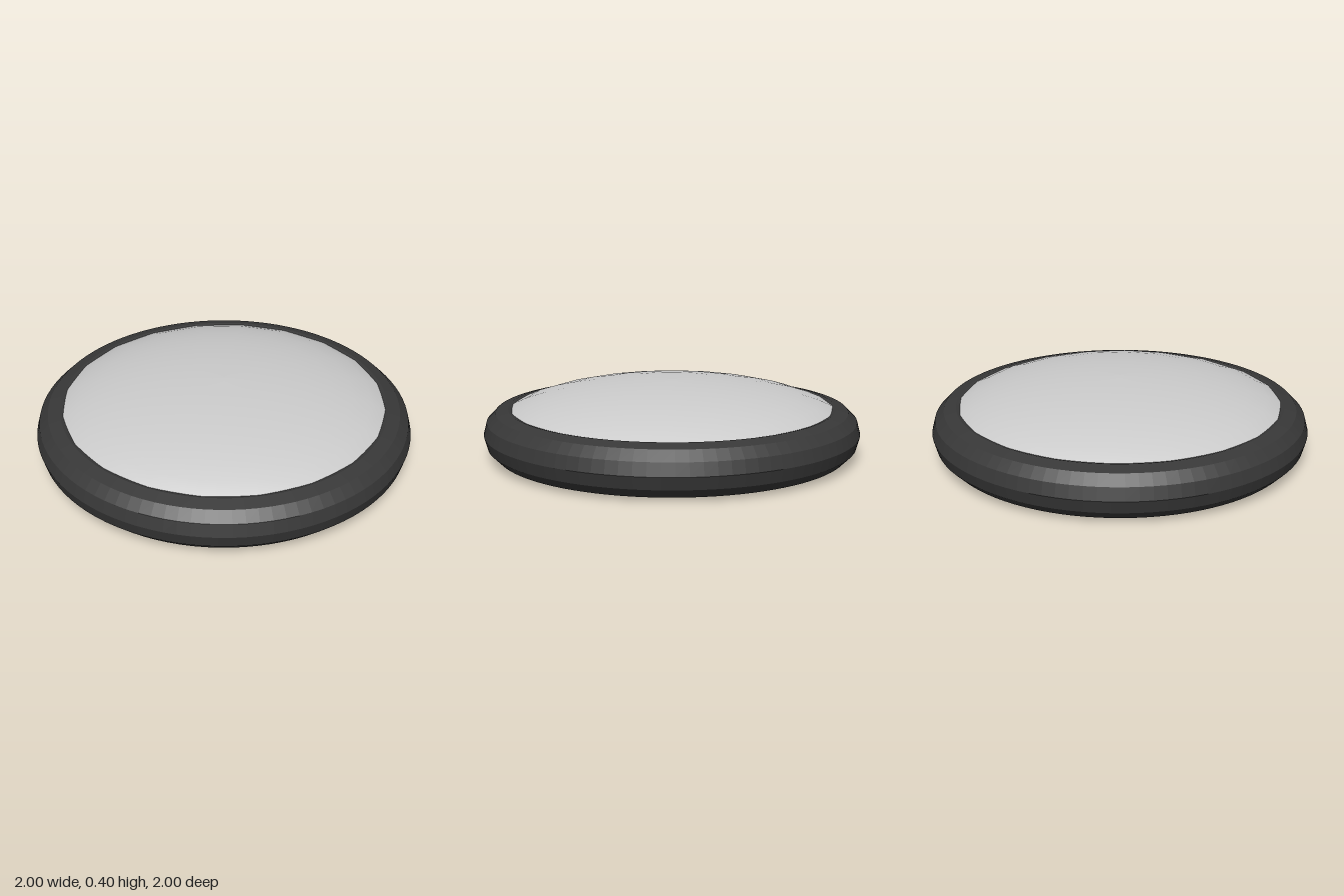
import * as THREE from 'three';

const TUBE = 0.13;

function addPart(group, name, geometry, color, options = {}) {
  const mesh = new THREE.Mesh(geometry, new THREE.MeshStandardMaterial({ color, ...options }));
  mesh.name = name;
  group.add(mesh);
  return mesh;
}

export function createModel() {
  const group = new THREE.Group();
  group.name = 'domedDisc';

  // Outer rim: faceted ring with a twelve-sided section
  const rim = new THREE.TorusGeometry(1 - TUBE, TUBE, 12, 96);
  rim.rotateX(Math.PI / 2);
  addPart(group, 'rim', rim, 0x383838, { flatShading: true }).position.y = TUBE;

  // Shallow elliptical dome, its lower edge sunk into the rim
  const profile = [];
  for (let i = 0; i <= 10; i++) {
    const a = (i / 10) * Math.PI / 2;
    profile.push(new THREE.Vector2(0.97 * Math.cos(a), 0.135 + 0.26 * Math.sin(a)));
  }
  profile[10].x = 0;
  const dome = new THREE.LatheGeometry(profile, 20, Math.PI / 20);
  addPart(group, 'dome', dome, 0xcccccc, { side: THREE.DoubleSide });

  // Base plate closing the underside, slightly recessed
  const base = new THREE.CylinderGeometry(0.82, 0.82, 0.04, 64);
  addPart(group, 'basePlate', base, 0x080808).position.y = 0.057;

  return group;
}
